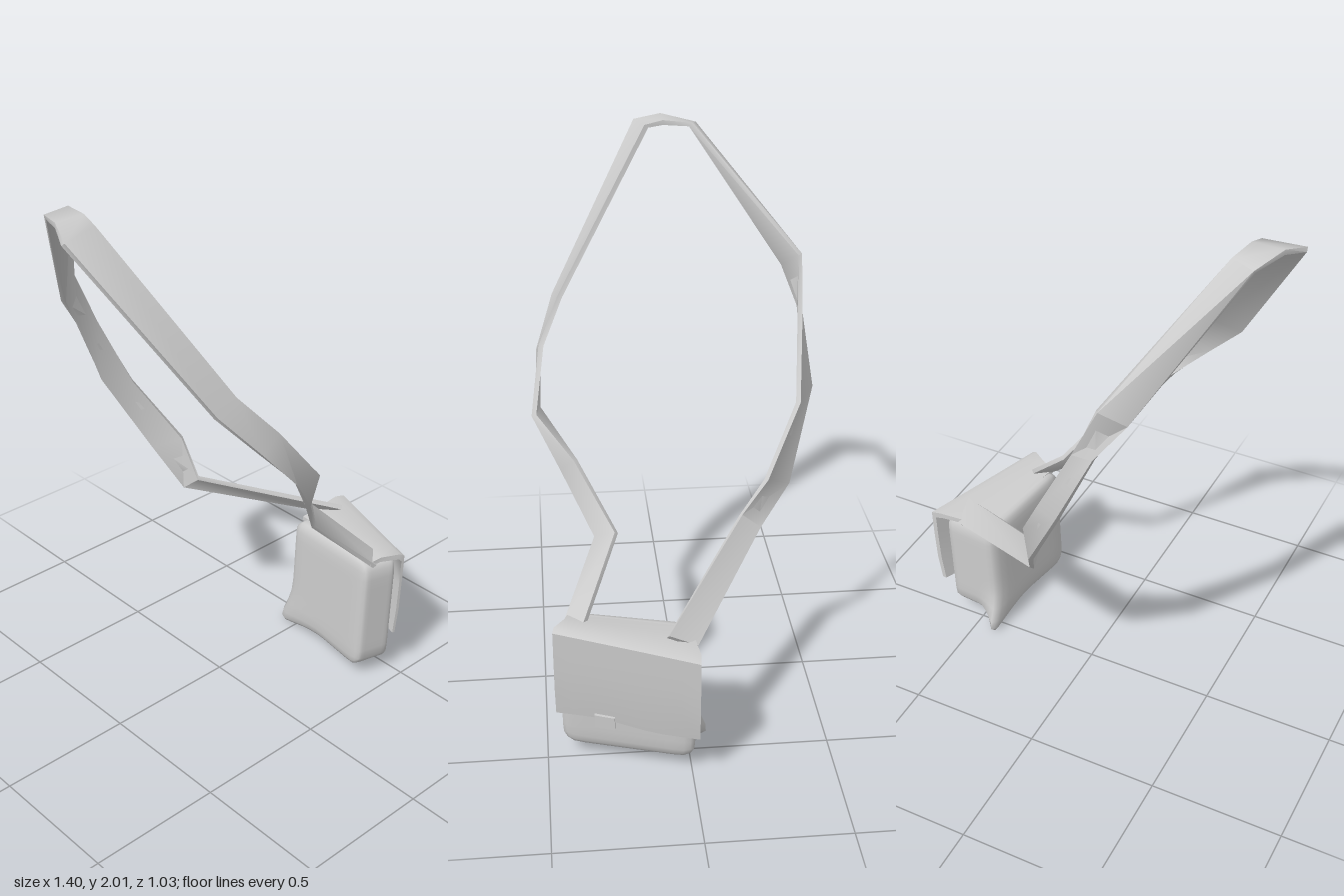
import * as THREE from 'three';
import { mergeVertices, toCreasedNormals } from 'three/addons/utils/BufferGeometryUtils.js';

const V = (x, y, z) => new THREE.Vector3(x, y, z);
const leather = new THREE.MeshStandardMaterial({ color: 0xcccccc, side: THREE.DoubleSide });
leather.name = 'grey leather';

// Skewed frame of the bag: X along its width, Y up, Z out through the flap side, each -1..1
function bagPoint(X, Y, Z) {
  const back = V(0.345, 0, 0.41).lerp(V(0.41, 0, -0.03), (X + 1) / 2);
  const front = V(0.49, 0, 0.45).lerp(V(0.645, 0, -0.01), (X + 1) / 2);
  const p = back.lerp(front, (Z + 1) / 2);
  const top = 0.495 - 0.015 * X, bottom = 0.037;
  p.y = bottom + (top - bottom) * (Y + 1) / 2;
  p.x += 0.01 * Y;
  return p;
}

// Solid strip lofted through rings; each ring runs along one face and back along the other
function loft(rings, crease) {
  const n = rings[0].length, last = (rings.length - 1) * n;
  const index = [];
  const quad = (a, b, c, d) => index.push(a, b, c, a, c, d);
  for (let i = 0; i < rings.length - 1; i++) {
    for (let j = 0; j < n; j++) {
      const k = (j + 1) % n;
      quad(i * n + j, i * n + k, (i + 1) * n + k, (i + 1) * n + j);
    }
  }
  for (let j = 0; j < n / 2 - 1; j++) {
    quad(n - 1 - j, n - 2 - j, j + 1, j);
    quad(last + j, last + j + 1, last + n - 2 - j, last + n - 1 - j);
  }
  const g = new THREE.BufferGeometry().setFromPoints(rings.flat());
  g.setIndex(index);
  return toCreasedNormals(g, crease);
}

// Soft rounded body with one sagging rear corner
function bodyGeometry() {
  const g = new THREE.BoxGeometry(2, 2, 2, 12, 12, 12);
  const pos = g.attributes.position, r = 0.25;
  for (let i = 0; i < pos.count; i++) {
    const p = V().fromBufferAttribute(pos, i);
    const inner = p.clone().clampScalar(r - 1, 1 - r);
    p.sub(inner).normalize().multiplyScalar(r).add(inner);
    const q = bagPoint(p.x, p.y, p.z);
    const sag = (Math.max(0, p.x) * Math.max(0, -p.z)) ** 2 * Math.max(0, -p.y) ** 4;
    q.y -= 0.125 * sag;
    q.z -= 0.15 * sag;
    pos.setXYZ(i, q.x, q.y, q.z);
  }
  g.deleteAttribute('normal');
  g.deleteAttribute('uv');
  const merged = mergeVertices(g);
  merged.computeVertexNormals();
  return merged;
}

// Flap over the top and down the front, profile as [Z, Y]
function flapGeometry() {
  const outer = [[-0.6, 1.0], [0, 1.04], [0.95, 1.06], [1.27, 1.01], [1.27, 0.5], [1.25, 0], [1.14, -0.45]];
  const inner = [[-0.6, 0.93], [0, 0.96], [0.9, 0.97], [1.12, 0.92], [1.12, 0.5], [1.1, 0], [1.0, -0.45]];
  const profile = [...outer, ...inner.reverse()];
  const rings = [];
  for (let i = 0; i <= 8; i++) {
    const X = -1 + i * 0.25;
    const wave = 0.03 * Math.sin(X * 4);
    rings.push(profile.map(([Z, Y]) => {
      const overhang = Z > 0.5 ? 1.06 : 0.97;
      return bagPoint(X * overhang, Y - (Y < 0 ? wave + 0.04 * X : 0), Z + (Z > 0.99 ? 0.06 * X : 0));
    }));
  }
  return loft(rings, 0.9);
}

// Strap stations: the two edges of the band, from one side of the bag round to the other
function strapGeometry() {
  const stations = [
    [0.58, 0.52, 0.08, 0.57, 0.47, -0.02],
    [0.10, 0.71, -0.23, 0.09, 0.65, -0.30],
    [0.10, 0.85, -0.32, 0.03, 0.80, -0.41],
    [-0.03, 1.09, -0.45, -0.13, 1.11, -0.51],
    [-0.17, 1.37, -0.47, -0.25, 1.38, -0.48],
    [-0.26, 1.57, -0.48, -0.34, 1.51, -0.43],
    [-0.53, 1.985, -0.11, -0.61, 1.97, -0.13],
    [-0.55, 1.99, -0.01, -0.66, 1.99, -0.01],
    [-0.56, 1.975, 0.05, -0.70, 1.965, 0.08],
    [-0.29, 1.43, 0.39, -0.39, 1.40, 0.41],
    [-0.17, 1.29, 0.465, -0.25, 1.24, 0.475],
    [-0.01, 1.09, 0.50, -0.10, 1.08, 0.485],
    [0.08, 0.95, 0.36, 0.04, 0.90, 0.41],
    [0.24, 0.74, 0.23, 0.19, 0.70, 0.30],
    [0.46, 0.50, 0.36, 0.40, 0.49, 0.42],
  ];
  const P = stations.map((s) => V(s[0], s[1], s[2]));
  const Q = stations.map((s) => V(s[3], s[4], s[5]));
  const mid = P.map((p, i) => p.clone().lerp(Q[i], 0.5));
  const rings = P.map((p, i) => {
    const along = mid[Math.min(i + 1, mid.length - 1)].clone().sub(mid[Math.max(i - 1, 0)]);
    const h = along.cross(p.clone().sub(Q[i])).setLength(0.009);
    return [p.clone().sub(h), p.clone().add(h), Q[i].clone().add(h), Q[i].clone().sub(h)];
  });
  return loft(rings, 0.9);
}

// Clasp: a small block bridging the lower edge of the flap
function claspGeometry() {
  const block = (X) => [[1.27, -0.32], [1.27, -0.54], [0.95, -0.54], [0.95, -0.32]]
    .map(([Z, Y]) => bagPoint(X, Y, Z));
  return loft([block(-0.48), block(-0.18)], 0.5);
}

export function createModel() {
  const model = new THREE.Group();
  model.name = 'shoulderBag';
  const add = (name, geometry) => {
    const mesh = new THREE.Mesh(geometry, leather);
    mesh.name = name;
    model.add(mesh);
  };
  add('body', bodyGeometry());
  add('flap', flapGeometry());
  add('strap', strapGeometry());
  add('clasp', claspGeometry());
  return model;
}
